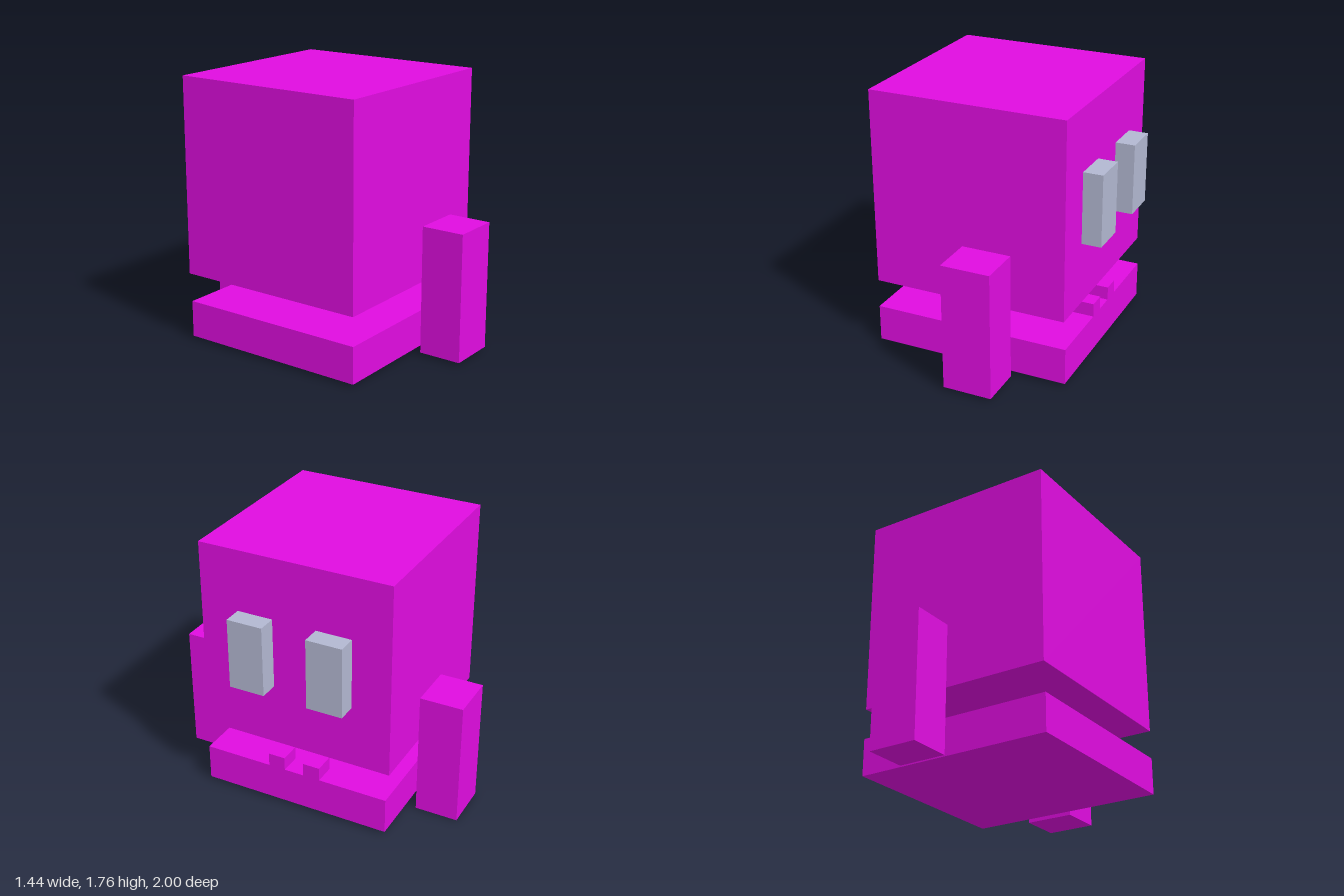
import * as THREE from 'three';

const skin = new THREE.MeshStandardMaterial({ color: 0xdf0cdf, flatShading: true });
const eyeGrey = new THREE.MeshStandardMaterial({ color: 0xb2b7d1, flatShading: true });

// Box given by its extents [min, max] along each axis
function block(name, [x0, x1], [y0, y1], [z0, z1], material = skin) {
  const mesh = new THREE.Mesh(new THREE.BoxGeometry(x1 - x0, y1 - y0, z1 - z0), material);
  mesh.position.set((x0 + x1) / 2, (y0 + y1) / 2, (z0 + z1) / 2);
  mesh.name = name;
  return mesh;
}

export function createModel() {
  const model = new THREE.Group();
  model.name = 'blockCreature';

  // Floating head above a flat lower jaw; the face looks along +x
  model.add(block('head', [-0.725, 0.59], [0.455, 1.765], [-0.665, 0.65]));
  model.add(block('lowerJaw', [-0.725, 0.605], [0.02, 0.265], [-0.65, 0.653]));

  // Protruding eyes
  for (const [name, z] of [['eyeA', 0.265], ['eyeB', -0.28]]) {
    model.add(block(name, [0.59, 0.72], [0.873, 1.35], [z - 0.122, z + 0.122], eyeGrey));
  }

  // Teeth standing on the jaw's front edge
  for (const [name, z] of [['toothA', 0.131], ['toothB', -0.122]]) {
    model.add(block(name, [0.46, 0.605], [0.265, 0.355], [z - 0.058, z + 0.058]));
  }

  // Detached arms, one slightly lower than the other
  model.add(block('armA', [-0.067, 0.26], [0.018, 0.865], [0.712, 1]));
  model.add(block('armB', [-0.067, 0.26], [0, 0.848], [-1, -0.712]));

  return model;
}
